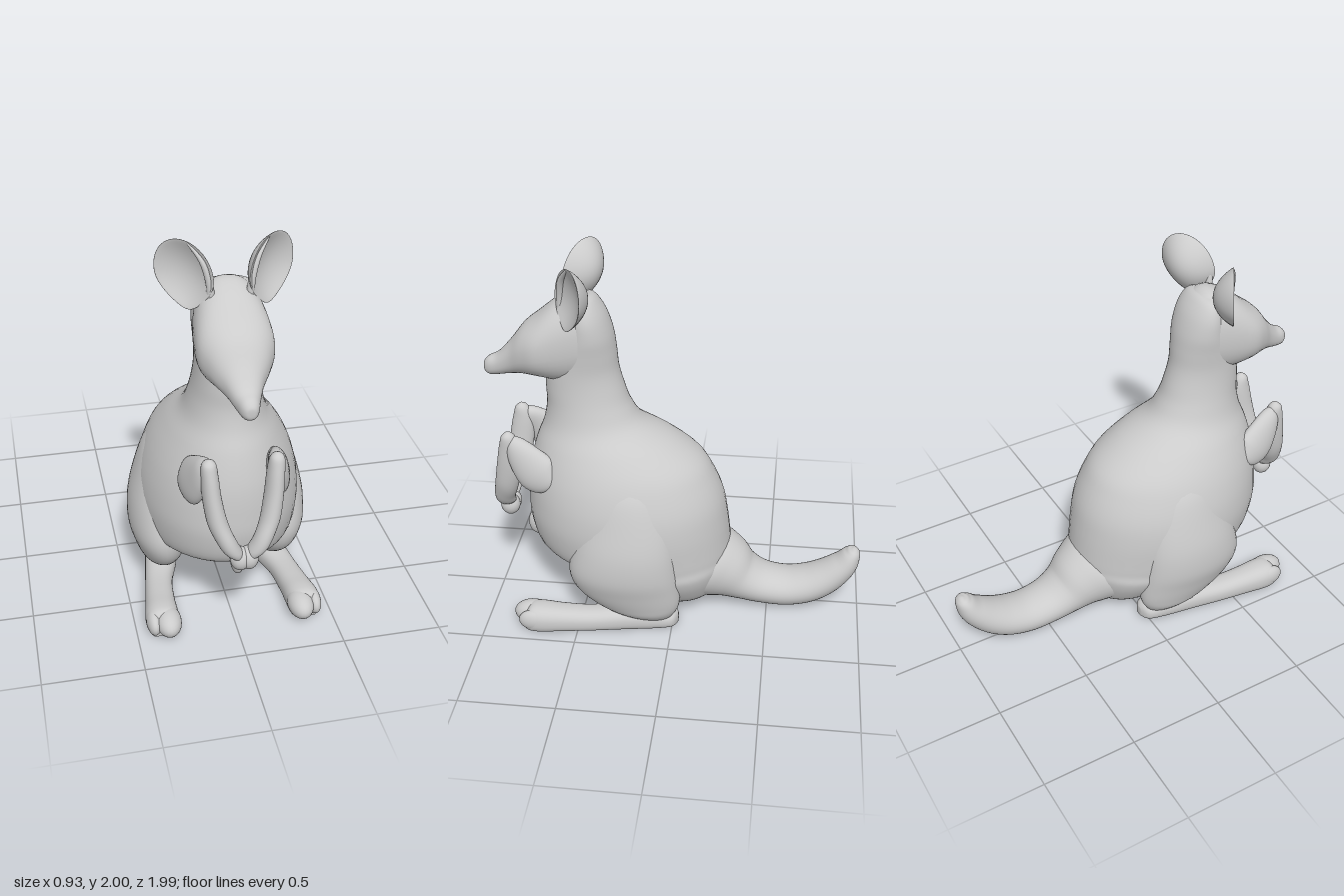
import * as THREE from 'three';

const material = new THREE.MeshStandardMaterial({ color: 0xcccccc });
const X = new THREE.Vector3(1, 0, 0), Y = new THREE.Vector3(0, 1, 0), Z = new THREE.Vector3(0, 0, 1);

// Smooth interpolation of a list of equally long rows
function sample(rows, t) {
  const f = t * (rows.length - 1), i = Math.min(Math.floor(f), rows.length - 2), s = f - i;
  const at = k => rows[Math.max(0, Math.min(rows.length - 1, k))];
  const [a, b, c, d] = [at(i - 1), at(i), at(i + 1), at(i + 2)];
  return b.map((p, k) => p + 0.5 * s * (c[k] - a[k] +
    s * (2 * a[k] - 5 * p + 4 * c[k] - d[k] + s * (3 * (p - c[k]) + d[k] - a[k]))));
}

// Skin through rounded sections [x, y, z, radius across, radius along].
// The sections face a fixed axis, or follow the path when none is given.
// A roundness below 1 makes the sections squarer.
function loft(name, rows, axis, roundness = 1, sides = 40) {
  const steps = (rows.length - 1) * 5, pos = [], index = [];
  const centre = t => new THREE.Vector3(...sample(rows, t).slice(0, 3));
  const bend = k => Math.sign(k) * Math.abs(k) ** roundness;
  for (let i = 0; i <= steps; i++) {
    const t = i / steps, row = sample(rows, t), c = centre(t);
    const dir = axis || centre(Math.min(1, t + 0.01)).sub(centre(Math.max(0, t - 0.01))).normalize();
    const v = dir.clone().cross(X).normalize();
    for (let j = 0; j < sides; j++) {
      const a = j / sides * Math.PI * 2;
      const p = c.clone().addScaledVector(X, bend(Math.cos(a)) * Math.max(0.002, row[3]))
        .addScaledVector(v, bend(Math.sin(a)) * Math.max(0.002, row[4]));
      pos.push(p.x, Math.max(0, p.y), p.z);
      if (i < steps) {
        const n = (j + 1) % sides, q = i * sides;
        index.push(q + j, q + n, q + sides + j, q + n, q + sides + n, q + sides + j);
      }
    }
  }
  // End caps
  [0, steps].forEach(i => {
    const c = centre(i / steps), k = pos.length / 3;
    pos.push(c.x, Math.max(0, c.y), c.z);
    for (let j = 0; j < sides; j++) {
      const p = i * sides + j, q = i * sides + (j + 1) % sides;
      index.push(k, i ? p : q, i ? q : p);
    }
  });
  const g = new THREE.BufferGeometry();
  g.setAttribute('position', new THREE.Float32BufferAttribute(pos, 3));
  g.setIndex(index);
  g.computeVertexNormals();
  return named(name, g);
}

function named(name, geometry) {
  const m = new THREE.Mesh(geometry, material);
  m.name = name;
  return m;
}

function ellipsoid(name, p, r) {
  return named(name, new THREE.SphereGeometry(1, 24, 16).scale(...r).translate(...p));
}

// Cupped ear: a sphere flattened into a dish opening forwards and outwards
function ear(side) {
  const g = new THREE.SphereGeometry(1, 40, 32), p = g.attributes.position;
  for (let i = 0; i < p.count; i++) {
    const a = p.getX(i), b = p.getY(i), c = p.getZ(i);
    const bowl = Math.max(0, 1 - a * a - b * b);
    const u = a * 0.145 * (b < 0 ? 1 - 0.4 * b * b : 1) + 0.02 * b;
    const n = 0.016 * c - (c > 0 ? 0.055 : 0.085) * bowl;
    p.setXYZ(i, 0.203 + 0.83 * u + 0.56 * n, 1.837 + 0.163 * b, 0.51 - 0.56 * u + 0.83 * n - 0.01 * b);
  }
  if (side < 0) {
    g.scale(-1, 1, 1);
    const ix = g.index.array;
    for (let i = 0; i < ix.length; i += 3) [ix[i], ix[i + 1]] = [ix[i + 1], ix[i]];
  }
  g.computeVertexNormals();
  return named('earDish', g);
}

export function createModel() {
  const model = new THREE.Group();

  // Torso and neck: height, back z, front z, half width
  const torso = [
    [0.05, -0.16, -0.02, 0.08], [0.1, -0.22, 0.2, 0.22], [0.2, -0.265, 0.36, 0.31], [0.29, -0.285, 0.47, 0.36],
    [0.35, -0.29, 0.68, 0.385], [0.41, -0.287, 0.765, 0.4], [0.55, -0.27, 0.8, 0.412], [0.68, -0.245, 0.8, 0.402],
    [0.8, -0.195, 0.79, 0.372], [0.9, -0.13, 0.77, 0.332], [1, 0, 0.74, 0.275], [1.1, 0.17, 0.7, 0.21],
    [1.2, 0.24, 0.68, 0.178], [1.3, 0.275, 0.68, 0.16], [1.4, 0.3, 0.67, 0.152], [1.5, 0.31, 0.63, 0.155],
    [1.6, 0.325, 0.58, 0.16], [1.7, 0.36, 0.55, 0.15], [1.77, 0.41, 0.52, 0.11], [1.79, 0.45, 0.5, 0.01]];
  model.add(loft('torso', torso.map(([y, b, f, w]) => [0, y, (b + f) / 2, w, (f - b) / 2]), Y, 1, 48));

  // Head and muzzle: z, top, bottom, half width
  const head = [
    [0.35, 1.62, 1.52, 0.03], [0.38, 1.71, 1.44, 0.1], [0.43, 1.78, 1.37, 0.14], [0.5, 1.807, 1.34, 0.163],
    [0.6, 1.765, 1.335, 0.178], [0.7, 1.685, 1.355, 0.178], [0.78, 1.62, 1.36, 0.14], [0.85, 1.53, 1.35, 0.092],
    [0.92, 1.455, 1.335, 0.06], [0.97, 1.43, 1.33, 0.043], [0.995, 1.405, 1.345, 0.025], [1, 1.385, 1.37, 0.005]];
  model.add(loft('head', head.map(([z, t, b, w]) => [0, (t + b) / 2, z, w, (t - b) / 2]), Z, 0.88));

  // Tail
  model.add(loft('tail', [
    [0, 0.28, -0.02, 0.25, 0.2], [0, 0.255, -0.15, 0.24, 0.205], [0, 0.21, -0.26, 0.195, 0.18],
    [0, 0.153, -0.36, 0.158, 0.13],
    [0, 0.113, -0.47, 0.14, 0.106], [0, 0.1, -0.6, 0.133, 0.1], [0, 0.125, -0.72, 0.125, 0.1],
    [0, 0.18, -0.82, 0.11, 0.093], [0, 0.26, -0.905, 0.088, 0.075], [0, 0.33, -0.945, 0.065, 0.052],
    [0, 0.365, -0.955, 0.04, 0.03], [0, 0.376, -0.956, 0.004, 0.004]]));

  // Small drop at the pouch opening
  model.add(ellipsoid('pouchTip', [0, 0.42, 0.78], [0.035, 0.075, 0.05]));

  for (const s of [1, -1]) {
    const group = (name, ...parts) => {
      const g = new THREE.Group();
      g.name = (s > 0 ? 'left' : 'right') + name;
      g.add(...parts);
      model.add(g);
    };

    group('Ear', ear(s), loft('earRim', [
      [s * 0.09, 1.74, 0.565, 0.02, 0.02], [s * 0.1, 1.82, 0.565, 0.016, 0.018],
      [s * 0.128, 1.91, 0.55, 0.014, 0.016], [s * 0.185, 1.985, 0.51, 0.005, 0.006]]));

    // Hind leg: thigh sections by height (back, front, inner, outer), foot sections by depth
    const thigh = [
      [0.04, 0.02, 0.2, 0.25, 0.33], [0.1, -0.02, 0.33, 0.2, 0.385], [0.16, -0.04, 0.43, 0.18, 0.41],
      [0.25, -0.04, 0.515, 0.165, 0.437], [0.36, -0.03, 0.545, 0.155, 0.462], [0.5, -0.02, 0.52, 0.14, 0.457],
      [0.65, 0, 0.48, 0.12, 0.422], [0.8, 0.05, 0.43, 0.11, 0.374], [0.9, 0.12, 0.36, 0.11, 0.315]];
    const foot = [
      [0.25, -0.03, 0.02, 0.05], [0.26, 0, 0.065, 0.08], [0.275, 0.1, 0.08, 0.11], [0.295, 0.25, 0.085, 0.12],
      [0.335, 0.42, 0.072, 0.11], [0.355, 0.58, 0.076, 0.122], [0.365, 0.69, 0.084, 0.136], [0.366, 0.75, 0.08, 0.132],
      [0.366, 0.78, 0.06, 0.1]];
    group('HindLeg',
      loft('thigh', thigh.map(([y, b, f, i, o]) => [s * (i + o) / 2, y, (b + f) / 2, (o - i) / 2, (f - b) / 2]), Y),
      loft('foot', foot.map(([x, z, w, top]) => [s * x, top * 0.4, z, w, top * 0.6]), Z, 0.85),
      ellipsoid('mainToe', [s * 0.342, 0.066, 0.75], [0.066, 0.066, 0.102]),
      ellipsoid('outerToe', [s * 0.413, 0.061, 0.735], [0.038, 0.061, 0.08]));

    // Arm raised to a bent joint, with the forearm hanging to the paw
    group('Arm',
      loft('upperArm', [
        [s * 0.205, 0.8, 0.62, 0.025, 0.03], [s * 0.21, 0.82, 0.64, 0.055, 0.075], [s * 0.208, 0.865, 0.705, 0.058, 0.115],
        [s * 0.192, 0.94, 0.775, 0.05, 0.095], [s * 0.172, 1.01, 0.83, 0.04, 0.055], [s * 0.163, 1.05, 0.86, 0.01, 0.01]]),
      loft('forearm', [
        [s * 0.16, 1.074, 0.868, 0.008, 0.008], [s * 0.161, 1.05, 0.865, 0.033, 0.036], [s * 0.157, 0.98, 0.86, 0.041, 0.057],
        [s * 0.147, 0.86, 0.873, 0.045, 0.066], [s * 0.125, 0.74, 0.9, 0.048, 0.062], [s * 0.088, 0.65, 0.925, 0.047, 0.056],
        [s * 0.055, 0.59, 0.927, 0.043, 0.05], [s * 0.025, 0.55, 0.922, 0.02, 0.03]]),
      ellipsoid('paw', [s * 0.02, 0.54, 0.92], [0.05, 0.06, 0.053]));
  }
  return model;
}
